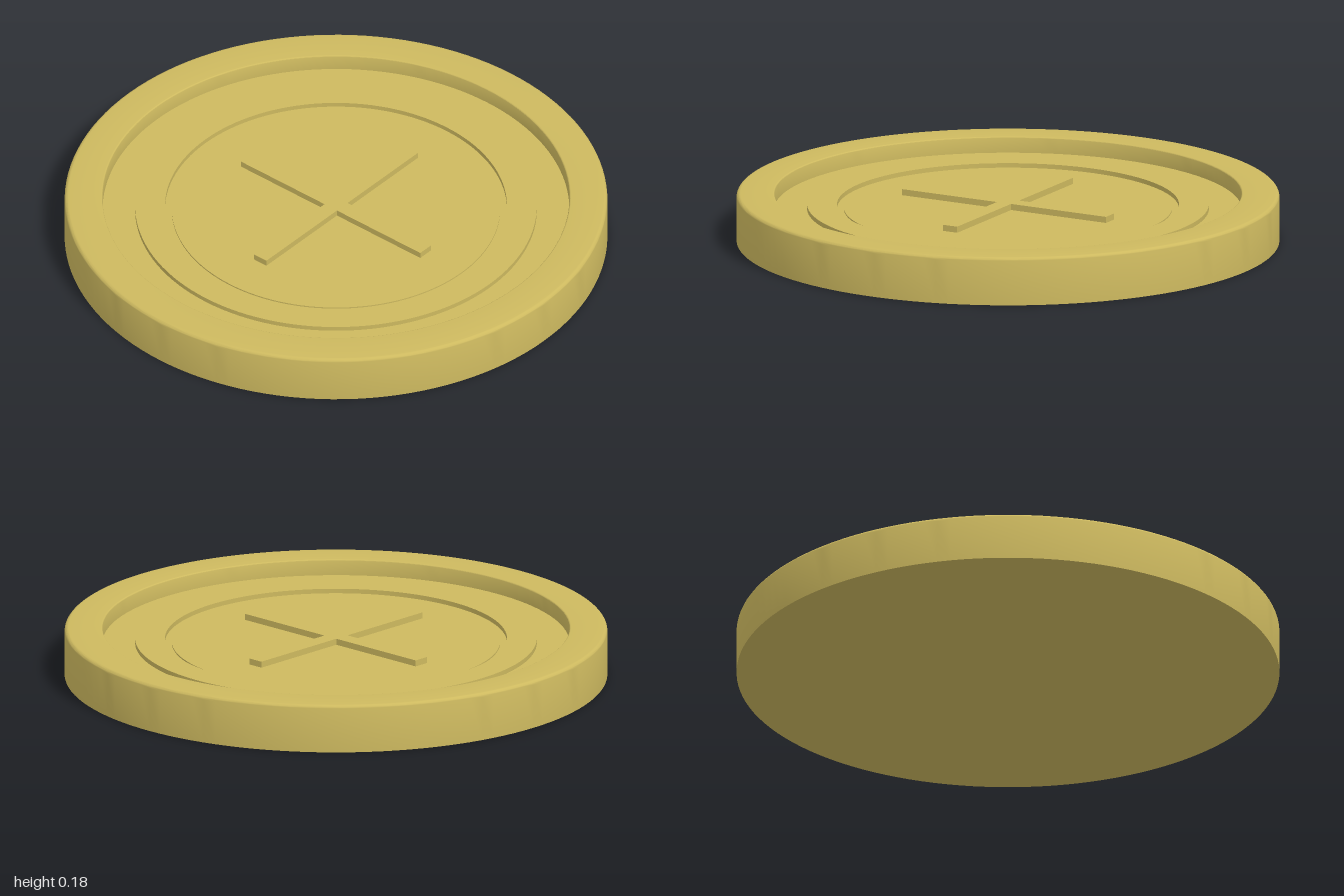
import * as THREE from 'three';
import { toCreasedNormals } from 'three/addons/utils/BufferGeometryUtils.js';

const material = new THREE.MeshStandardMaterial({ color: 0xcdb95f });

const FLOOR = 0.12; // height of the recessed face
const HEIGHT = 0.18;

function named(geometry, name) {
  const mesh = new THREE.Mesh(geometry, material);
  mesh.name = name;
  return mesh;
}

// Turned part from [radius, height] pairs, listed bottom to top
function turned(points, name) {
  const profile = points.map(([r, y]) => new THREE.Vector2(r, y));
  return named(toCreasedNormals(new THREE.LatheGeometry(profile, 128), 0.5), name);
}

// Quarter-round points from one angle to another
function arc(cx, cy, radius, from, to, steps = 6) {
  return Array.from({ length: steps + 1 }, (_, i) => {
    const a = from + ((to - from) * i) / steps;
    return [cx + radius * Math.cos(a), cy + radius * Math.sin(a)];
  });
}

export function createModel() {
  const model = new THREE.Group();
  model.name = 'coin';

  // Body with a softly rounded raised rim around a recessed face
  const bevel = 0.015;
  model.add(turned([
    [0, 0], [1, 0],
    ...arc(1 - bevel, HEIGHT - bevel, bevel, 0, Math.PI / 2),
    ...arc(0.86 + 0.006, HEIGHT - 0.006, 0.006, Math.PI / 2, Math.PI),
    [0.86, FLOOR], [0, FLOOR],
  ], 'body'));

  // Low flat ring on the face
  model.add(turned([
    [0.74, FLOOR - 0.01], [0.74, 0.137], [0.63, 0.137], [0.63, FLOOR - 0.01],
  ], 'innerRing'));

  // Shallow centre disc
  model.add(turned([[0.605, FLOOR - 0.01], [0.605, 0.125], [0, 0.125]], 'centreDisc'));

  // Raised cross, extruded from a single outline
  const w = 0.03, l = 0.432;
  const outline = new THREE.Shape([
    [w, w], [w, l], [-w, l], [-w, w], [-l, w], [-l, -w],
    [-w, -w], [-w, -l], [w, -l], [w, -w], [l, -w], [l, w],
  ].map(([x, y]) => new THREE.Vector2(x, y)));
  const cross = new THREE.ExtrudeGeometry(outline, { depth: 0.03, bevelEnabled: false });
  cross.rotateX(-Math.PI / 2).translate(0, 0.118, 0);
  model.add(named(cross, 'cross'));

  return model;
}
